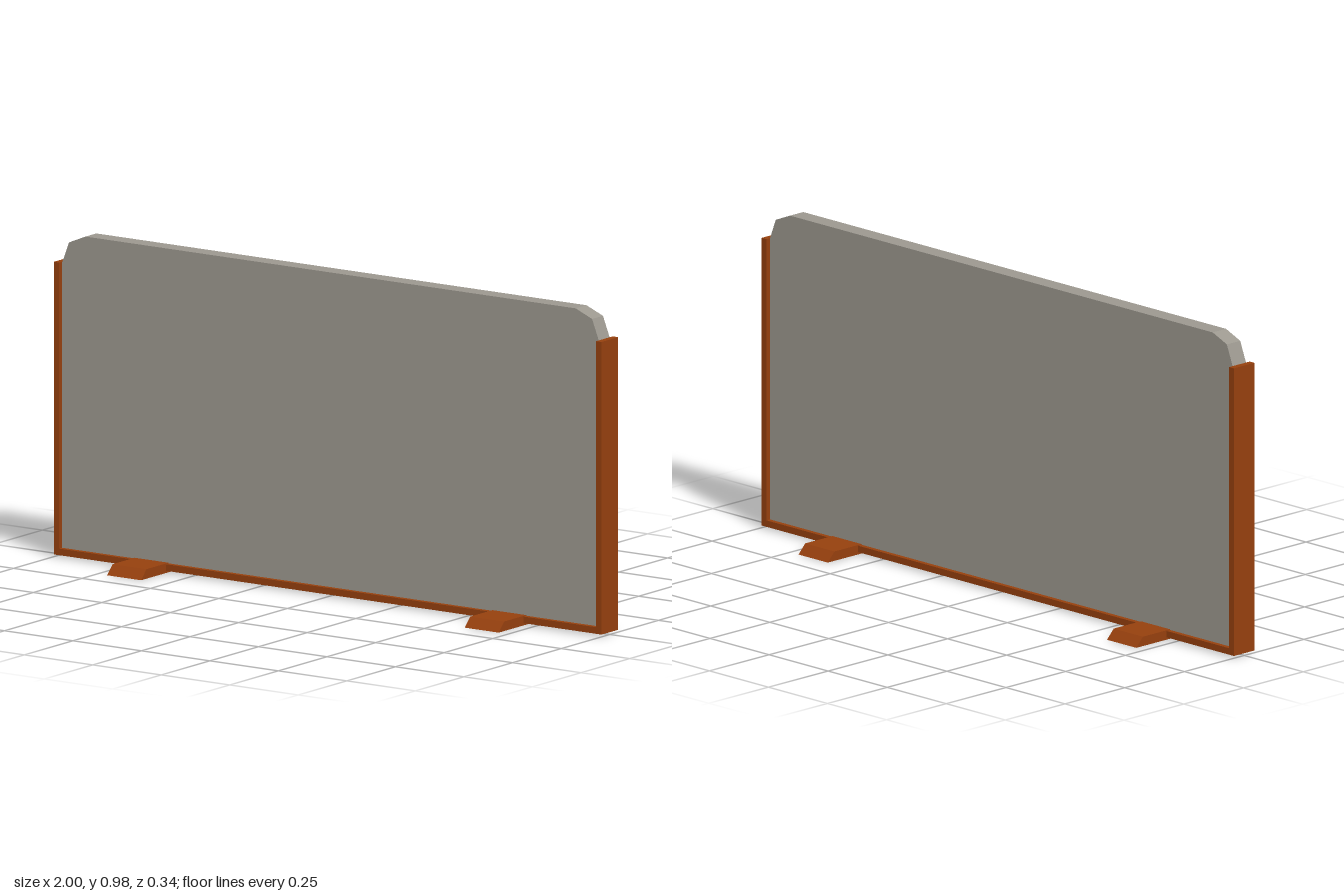
import * as THREE from 'three';

// Extrude an outline along z, centred on z = 0
function slab(points, depth) {
  const shape = new THREE.Shape(points.map(([x, y]) => new THREE.Vector2(x, y)));
  const geometry = new THREE.ExtrudeGeometry(shape, { depth, bevelEnabled: false });
  return geometry.translate(0, 0, -depth / 2);
}

// Complete a right-hand outline with its mirror image
function mirrored(half) {
  return [...half, ...half.map(([x, y]) => [-x, y]).reverse()];
}

export function createModel() {
  const model = new THREE.Group();
  model.name = 'partitionScreen';

  const wood = new THREE.MeshStandardMaterial({ color: 0x96400e });
  wood.name = 'brownWood';
  const grey = new THREE.MeshStandardMaterial({ color: 0x9c988f });
  grey.name = 'warmGrey';

  function add(name, geometry, material) {
    const mesh = new THREE.Mesh(geometry, material);
    mesh.name = name;
    model.add(mesh);
    return mesh;
  }

  // U-shaped frame: two posts and a bottom rail
  add('frame', slab(mirrored([[1, 0.007], [1, 0.897], [0.98, 0.897], [0.98, 0.027]]), 0.086), wood);

  // Panel with faceted top corners
  add('panel', slab(mirrored([[0.98, 0.027], [0.98, 0.895], [0.955, 0.959], [0.895, 0.984]]), 0.056), grey);

  // Feet with sloped ends, running front to back
  const footProfile = mirrored([[0.17, 0], [0.142, 0.029]]);
  for (const side of [-1, 1]) {
    const foot = add(side > 0 ? 'leftFoot' : 'rightFoot', slab(footProfile, 0.124), wood);
    foot.rotation.y = Math.PI / 2;
    foot.position.x = side * 0.653;
  }

  return model;
}
